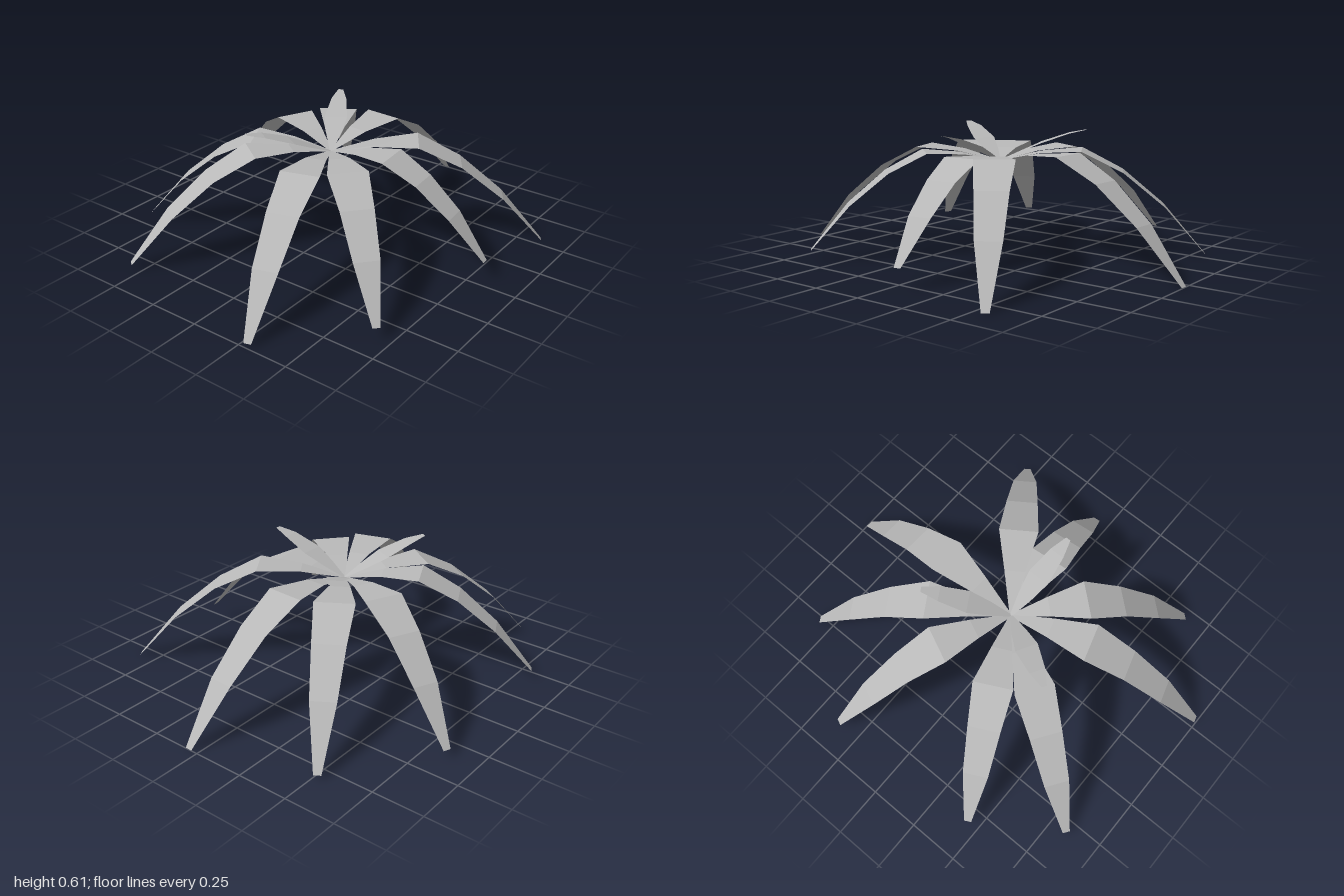
import * as THREE from 'three';

const CENTRE = new THREE.Vector3(0, 0.465, 0.03);

// Flat-faced ribbon leaf along +x; rows are [distance, height, width]
function leafGeometry(rows, length, lift) {
  const pos = [];
  const corner = ([d, h, w], side) => [d * length, h * lift, (side * w) / 2];
  for (let i = 0; i < rows.length - 1; i++) {
    const a = corner(rows[i], -1), b = corner(rows[i], 1);
    const c = corner(rows[i + 1], -1), d = corner(rows[i + 1], 1);
    pos.push(...a, ...b, ...d, ...a, ...d, ...c);
  }
  const g = new THREE.BufferGeometry();
  g.setAttribute('position', new THREE.Float32BufferAttribute(pos, 3));
  g.computeVertexNormals();
  return g;
}

// Drooping outer frond and rising inner leaf profiles
const FROND = [[0, 0, 0.012], [0.2, 0.045, 0.1], [0.4, 0.06, 0.19], [0.6, -0.045, 0.155], [0.8, -0.215, 0.12], [1, -0.455, 0.035]];
const SPROUT = [[0, 0, 0.012], [0.24, 0.045, 0.07], [0.48, 0.09, 0.11], [0.8, 0.137, 0.075], [1, 0.155, 0.025]];

// Ground positions (x, z) of the outer frond tips
const TIPS = [
  [0.05, -1.0], [-0.52, -0.82], [-0.86, -0.365], [-0.825, 0.445], [-0.56, 0.84],
  [0.29, 0.99], [0.685, 0.63], [0.815, -0.05], [0.855, -0.555],
];

export function createModel() {
  const model = new THREE.Group();
  model.name = 'palmCrown';
  const leafGrey = new THREE.MeshStandardMaterial({ color: 0xb8b8b8, side: THREE.DoubleSide, flatShading: true });
  leafGrey.name = 'leafGrey';

  const addLeaf = (name, geometry, angle) => {
    const mesh = new THREE.Mesh(geometry, leafGrey);
    mesh.name = name;
    mesh.position.copy(CENTRE);
    mesh.rotation.y = angle;
    model.add(mesh);
  };

  // Long drooping fronds
  TIPS.forEach(([x, z], i) => {
    const dz = z - CENTRE.z;
    const length = Math.hypot(x, dz);
    addLeaf(`outerFrond${i + 1}`, leafGeometry(FROND, length, length / 1.03), Math.atan2(-dz, x));
  });

  // Three short upright leaves in the middle
  for (let i = 0; i < 3; i++) {
    addLeaf(`innerLeaf${i + 1}`, leafGeometry(SPROUT, 0.42, 1), (i * Math.PI * 2) / 3);
  }
  return model;
}
